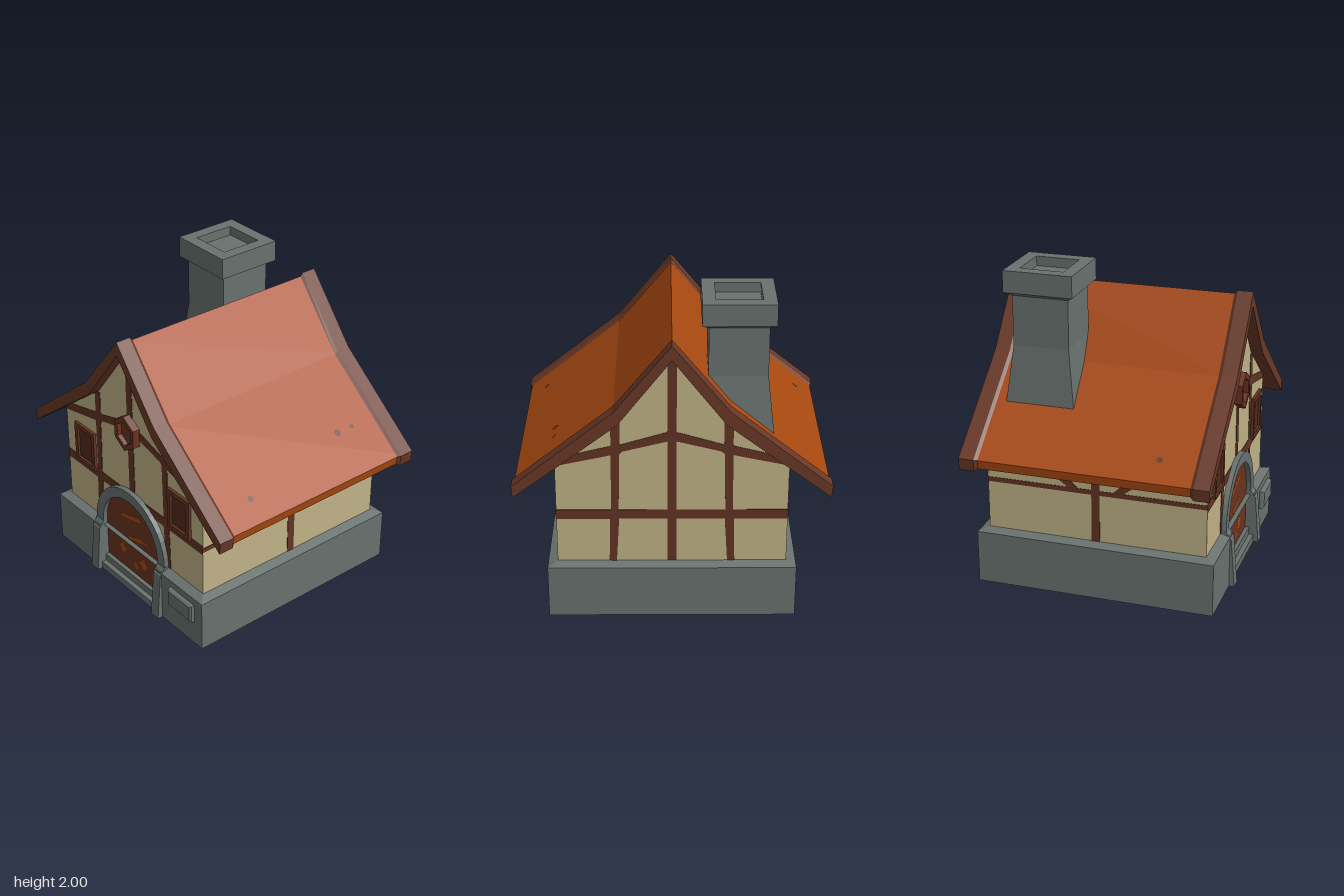
import * as THREE from 'three';

const mat = (name, color) => new THREE.MeshStandardMaterial({ name, color, side: THREE.DoubleSide, flatShading: true });
const V = (x, y, z) => new THREE.Vector3(x, y, z);

// Skin between equal-length closed loops; ends are filled when capped (axes name the cap plane)
function loft(loops, axes = null) {
  const pos = [], n = loops[0].length;
  const tri = (...p) => p.forEach(v => pos.push(v.x, v.y, v.z));
  for (let k = 0; k + 1 < loops.length; k++) {
    const a = loops[k], b = loops[k + 1];
    for (let i = 0; i < n; i++) {
      const j = (i + 1) % n;
      tri(a[i], a[j], b[j]);
      tri(a[i], b[j], b[i]);
    }
  }
  if (axes) {
    const first = loops[0], last = loops[loops.length - 1];
    const flat = first.map(p => new THREE.Vector2(p[axes[0]], p[axes[1]]));
    for (const [a, b, c] of THREE.ShapeUtils.triangulateShape(flat, [])) {
      tri(first[c], first[b], first[a]);
      tri(last[a], last[b], last[c]);
    }
  }
  const g = new THREE.BufferGeometry();
  g.setAttribute('position', new THREE.Float32BufferAttribute(pos, 3));
  g.computeVertexNormals();
  return g;
}

// Horizontal rectangle, anticlockwise from above
const rect = (x0, x1, z0, z1, y) => [V(x0, y, z1), V(x1, y, z1), V(x1, y, z0), V(x0, y, z0)];
const poly = pts => new THREE.Shape(pts.map(p => new THREE.Vector2(p[0], p[1])));

// Tapered timber between two points
function beam(ax, ay, bx, by, w0, w1 = w0) {
  const l = Math.hypot(bx - ax, by - ay), nx = -(by - ay) / l / 2, ny = (bx - ax) / l / 2;
  return poly([[ax - nx * w0, ay - ny * w0], [bx - nx * w1, by - ny * w1],
    [bx + nx * w1, by + ny * w1], [ax + nx * w0, ay + ny * w0]]);
}
const knot = (x, y, r) => poly([[x - r, y], [x, y - r], [x + r, y], [x, y + r]]);

// Thin plate centred on the wall plane
function plate(shapes, depth) {
  const g = new THREE.ExtrudeGeometry(shapes, { depth, bevelEnabled: false, curveSegments: 10 });
  return g.translate(0, 0, -depth / 2);
}

// Arched outline standing on y0
function archShape(r, cy, y0) {
  const s = new THREE.Shape();
  s.moveTo(-r, y0);
  s.lineTo(r, y0);
  s.lineTo(r, cy);
  s.absarc(0, cy, r, 0, Math.PI, false);
  s.lineTo(-r, y0);
  return s;
}

export function createModel() {
  const stone = mat('stone', 0x69726f), plaster = mat('plaster', 0xc0b387), timber = mat('timber', 0x623422);
  const trim = mat('roofTrim', 0x693826), tiles = mat('roofTiles', 0xa74810);
  const wood = mat('doorWood', 0x6a331f), pane = mat('shutterWood', 0x532a1c);

  const root = new THREE.Group(), house = new THREE.Group();
  house.name = 'cottage';
  house.position.x = 0.005;
  root.add(house);
  const add = (name, geo, material, parent = house) => {
    const m = new THREE.Mesh(geo, material);
    m.name = name;
    parent.add(m);
    return m;
  };

  // Stone base, an open shell with a notch for the doorway
  const baseLoop = (w, d, y) => [[-w, d], [w, d], [w, -d], [-w, -d], [-w, -0.29], [-0.7, -0.29], [-0.7, 0.29], [-w, 0.29]]
    .map(([x, z]) => V(x, y, z));
  add('base', loft([baseLoop(0.76, 0.76, 0), baseLoop(0.76, 0.76, 0.34), baseLoop(0.7, 0.7, 0.36)]), stone);

  // Plaster walls
  const gable = poly([[-0.7, 0.36], [0.7, 0.36], [0.7, 1.03], [0.32, 1.325], [0, 1.735], [-0.32, 1.325], [-0.7, 1.03]]);
  const longWall = poly([[-0.7, 0.36], [0.7, 0.36], [0.7, 1.03], [-0.7, 1.03]]);

  // Timber patterns
  const gableBeams = door => {
    const list = [beam(-0.7, 0.685, 0.7, 0.685, 0.062), beam(0, door ? 0.68 : 0.36, 0, 1.73, 0.055), knot(0, 0.685, 0.06), knot(0, 1.21, 0.06)];
    for (const s of [-1, 1]) {
      list.push(beam(s * 0.36, 0.36, s * 0.345, 0.69, 0.045, 0.055), beam(s * 0.345, 0.69, s * 0.335, 1.31, 0.045, 0.055),
        beam(s * 0.7, 1.04, s * 0.35, 1.12, 0.05, 0.06), beam(s * 0.35, 1.12, 0, 1.215, 0.045, 0.06),
        knot(s * 0.345, 0.69, 0.05), knot(s * 0.34, 1.12, 0.055));
    }
    return list;
  };
  const longBeams = [beam(-0.7, 0.685, 0.7, 0.685, 0.03), beam(0, 0.36, 0, 1.03, 0.052), beam(-0.7, 1.0, 0.7, 1.0, 0.05), knot(0, 0.685, 0.04)];
  for (const s of [-1, 1]) {
    longBeams.push(beam(s * 0.13, 0.69, s * 0.23, 0.77, 0.04, 0.05), beam(s * 0.22, 0.765, s * 0.34, 0.86, 0.05, 0.07),
      beam(s * 0.33, 0.85, s * 0.5, 1.0, 0.06, 0.05));
  }
  [['front', longWall, longBeams, 0], ['leftGable', gable, gableBeams(false), 1],
    ['back', longWall, longBeams, 2], ['doorGable', gable, gableBeams(true), 3]].forEach(([name, wall, beams, turn]) => {
    const side = new THREE.Group();
    side.name = name;
    side.rotation.y = turn * Math.PI / 2;
    house.add(side);
    add(name + 'Wall', new THREE.ShapeGeometry(wall), plaster, side).position.z = 0.7;
    add(name + 'Timbers', plate(beams, 0.006), timber, side).position.z = 0.7;
  });

  // Roof: tile slab, and edge trims chamfered towards the tiles
  const half = (pts, x) => {
    const [o0, o1, o2, i2, i1, i0] = pts;
    return [[-o2[0], o2[1]], [-o1[0], o1[1]], o0, o1, o2, i2, i1, i0, [-i1[0], i1[1]], [-i2[0], i2[1]]].map(([z, y]) => V(x, y, z));
  };
  const trimProfile = [[0, 1.82], [0.345, 1.4], [0.957, 0.915], [0.95, 0.84], [0.32, 1.32], [0, 1.73]];
  const tileProfile = [[0, 1.8], [0.345, 1.385], [0.943, 0.91], [0.937, 0.855], [0.32, 1.335], [0, 1.745]];
  add('roofTiles', loft([half(tileProfile, -0.7), half(tileProfile, 0.7)], ['z', 'y']), tiles);
  for (const s of [-1, 1]) {
    add('roofTrim', loft([half(trimProfile, s * 0.777), half(trimProfile, s * 0.68), half(tileProfile, s * 0.66)], ['z', 'y']), trim);
  }

  // Worn spots on the tiles
  for (const [x, z, r] of [[-0.44, 0.82, 0.02], [0.355, 0.71, 0.024], [0.475, 0.71, 0.016], [-0.44, -0.82, 0.02]]) {
    const s = Math.sign(z), n = V(0, 0.783, s * 0.622);
    const spot = add('roofSpot', new THREE.CircleGeometry(r, 7), trim);
    spot.position.set(x, 1.385 - (Math.abs(z) - 0.345) * 0.794, z).addScaledVector(n, 0.004);
    spot.lookAt(spot.position.clone().add(n));
  }

  // Chimney: flared shaft and hollow cap
  add('chimneyShaft', loft([rect(0.165, 0.6, -0.61, -0.18, 1.17), rect(0.205, 0.557, -0.57, -0.215, 1.53),
    rect(0.205, 0.557, -0.57, -0.215, 1.85)]), stone);
  add('chimneyCap', loft([rect(0.205, 0.557, -0.57, -0.215, 1.84), rect(0.165, 0.6, -0.61, -0.175, 1.865), rect(0.165, 0.6, -0.61, -0.175, 2),
    rect(0.245, 0.52, -0.53, -0.255, 2), rect(0.245, 0.52, -0.53, -0.255, 1.94)], ['x', 'z']), stone);

  // Door side: local x runs along z, local z points out of the wall
  const side = new THREE.Group();
  side.name = 'entrance';
  side.rotation.y = -Math.PI / 2;
  house.add(side);
  add('door', plate(archShape(0.29, 0.38, 0.08), 0.008), wood, side).position.z = 0.7;
  const stains = [beam(-0.12, 0.5, 0.08, 0.55, 0.02, 0.03), beam(-0.05, 0.36, 0.14, 0.41, 0.03, 0.015),
    knot(-0.12, 0.24, 0.04), knot(0.1, 0.22, 0.045), knot(0.02, 0.17, 0.03)];
  add('doorStains', plate(stains, 0.0095), tiles, side).position.z = 0.7;

  // Stone arch with flared feet
  const arch = archShape(0.36, 0.38, 0.34);
  arch.holes.push(archShape(0.29, 0.38, 0.341));
  add('doorArch', new THREE.ExtrudeGeometry(arch, { depth: 0.035, bevelEnabled: false, curveSegments: 10 }), stone, side).position.z = 0.7;
  for (const s of [-1, 1]) {
    const x0 = s * 0.325 - 0.036, x1 = s * 0.325 + 0.036;
    add('archFoot', loft([rect(x0, x1, 0.69, 0.795, 0), rect(x0, x1, 0.69, 0.768, 0.32), rect(x0, x1, 0.69, 0.735, 0.37)], ['x', 'z']), stone, side);
  }

  // Doorsteps
  for (const [h, out] of [[0.05, 0.762], [0.1, 0.73]]) {
    add('doorstep', new THREE.BoxGeometry(0.58, h, out - 0.7), stone, side).position.set(0, h / 2, (out + 0.7) / 2);
  }

  // Raised stone block with chamfered face
  const block = (x0, x1, y0, y1, z) => [V(x0, y0, z), V(x1, y0, z), V(x1, y1, z), V(x0, y1, z)];
  add('stoneBlock', loft([block(0.45, 0.69, 0.165, 0.295, 0.755), block(0.455, 0.685, 0.17, 0.29, 0.78),
    block(0.465, 0.675, 0.18, 0.28, 0.79)], ['x', 'y']), stone, side);

  // Shuttered windows
  for (const s of [-1, 1]) {
    const frame = poly([[-0.105, -0.14], [0.105, -0.14], [0.105, 0.14], [-0.105, 0.14]]);
    frame.holes.push(poly([[-0.075, -0.11], [0.075, -0.11], [0.075, 0.11], [-0.075, 0.11]]));
    add('windowFrame', plate(frame, 0.04), timber, side).position.set(s * 0.485, 0.835, 0.7);
    add('windowShutter', plate(poly([[-0.09, -0.125], [0.09, -0.125], [0.09, 0.125], [-0.09, 0.125]]), 0.009), pane, side)
      .position.set(s * 0.485, 0.835, 0.7);
  }

  // Six-sided boss under the ridge
  const hex = (r, z) => Array.from({ length: 6 }, (_, i) => {
    const a = (i + 0.5) * Math.PI / 3;
    return V(r * Math.cos(a), 1.18 + r * 1.1 * Math.sin(a), z);
  });
  add('gableBoss', loft([hex(0.11, 0.69), hex(0.11, 0.75), hex(0.075, 0.75), hex(0.075, 0.72)], ['x', 'y']), wood, side);

  return root;
}
